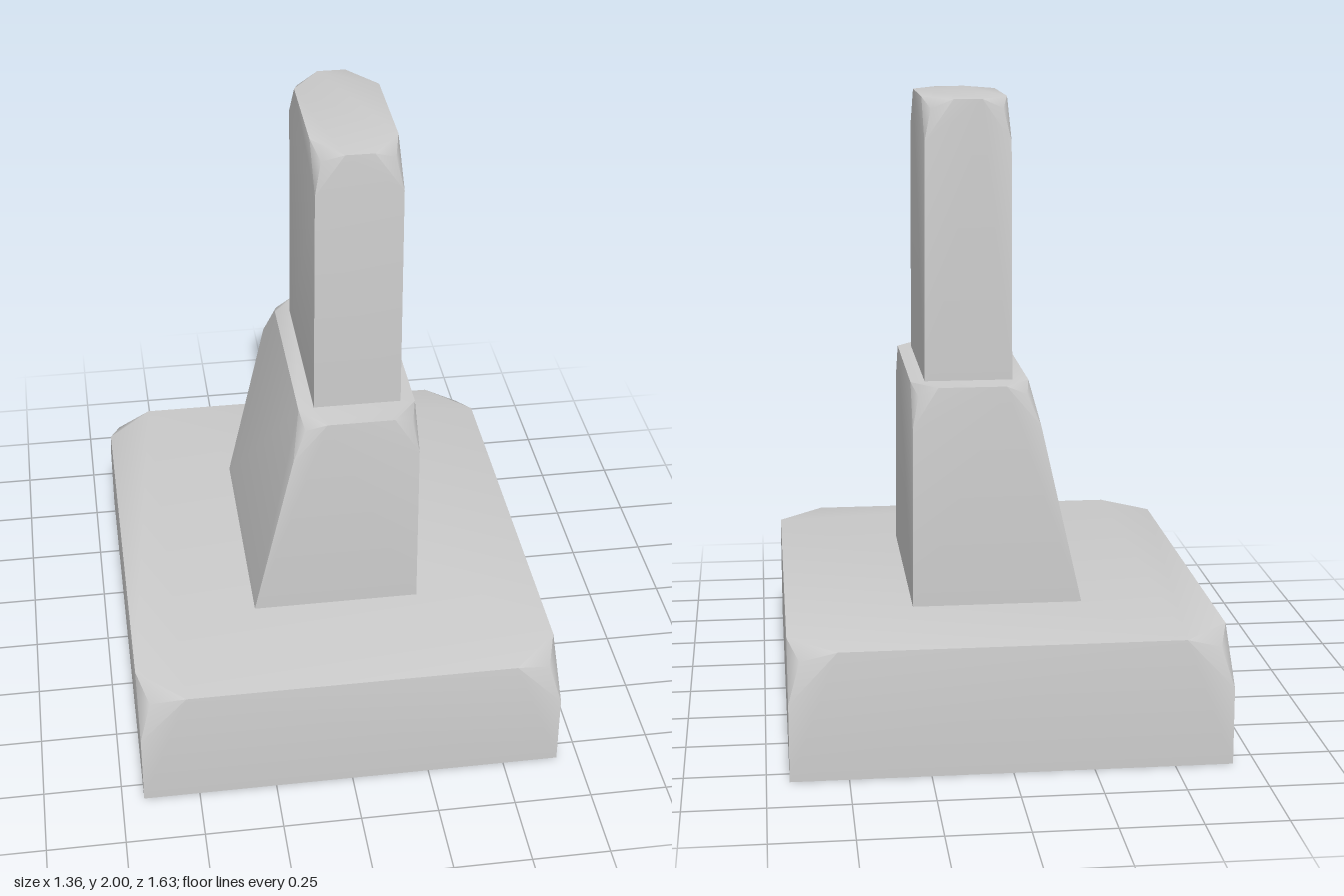
import * as THREE from 'three';
import { ConvexGeometry } from 'three/addons/geometries/ConvexGeometry.js';
import { toCreasedNormals } from 'three/addons/utils/BufferGeometryUtils.js';

const material = new THREE.MeshStandardMaterial({ color: 0xcccccc });

// Block with sharp lower corners and worn, rounded-off upper corners.
// bottom/top: [xMin, xMax]; cut: how far the wear runs along x, y and z.
function wornBlock(name, { bottom, top, y0, y1, z, cut }) {
  const points = [];
  for (const side of [0, 1]) {
    for (const end of [-1, 1]) {
      const low = new THREE.Vector3(bottom[side], y0, end * z);
      const corner = new THREE.Vector3(top[side], y1, end * z);
      // directions along the three edges that leave the corner
      const alongX = new THREE.Vector3(side ? -cut[0] : cut[0], 0, 0);
      const down = low.clone().sub(corner).multiplyScalar(cut[1] / (y1 - y0));
      const alongZ = new THREE.Vector3(0, 0, -end * cut[2]);
      const bulge = corner.clone();
      for (const edge of [alongX, down, alongZ]) {
        points.push(corner.clone().add(edge));
        bulge.addScaledVector(edge, 0.24);
      }
      points.push(low, bulge);
    }
  }
  const geometry = toCreasedNormals(new ConvexGeometry(points), 0.75);
  const mesh = new THREE.Mesh(geometry, material);
  mesh.name = name;
  return mesh;
}

export function createModel() {
  const group = new THREE.Group();
  group.name = 'steppedMonument';
  group.add(
    // wide slab on the ground
    wornBlock('base', {
      bottom: [-0.68, 0.68], top: [-0.68, 0.68], y0: 0, y1: 0.405, z: 0.815, cut: [0.15, 0.16, 0.15],
    }),
    // middle block, sloping on one side
    wornBlock('pedestal', {
      bottom: [-0.27, 0.275], top: [-0.105, 0.27], y0: 0.39, y1: 1.115, z: 0.403, cut: [0.08, 0.13, 0.1],
    }),
    // tall upright slab
    wornBlock('pillar', {
      bottom: [-0.055, 0.225], top: [-0.05, 0.22], y0: 1.05, y1: 2, z: 0.297, cut: [0.09, 0.13, 0.12],
    }),
  );
  return group;
}
